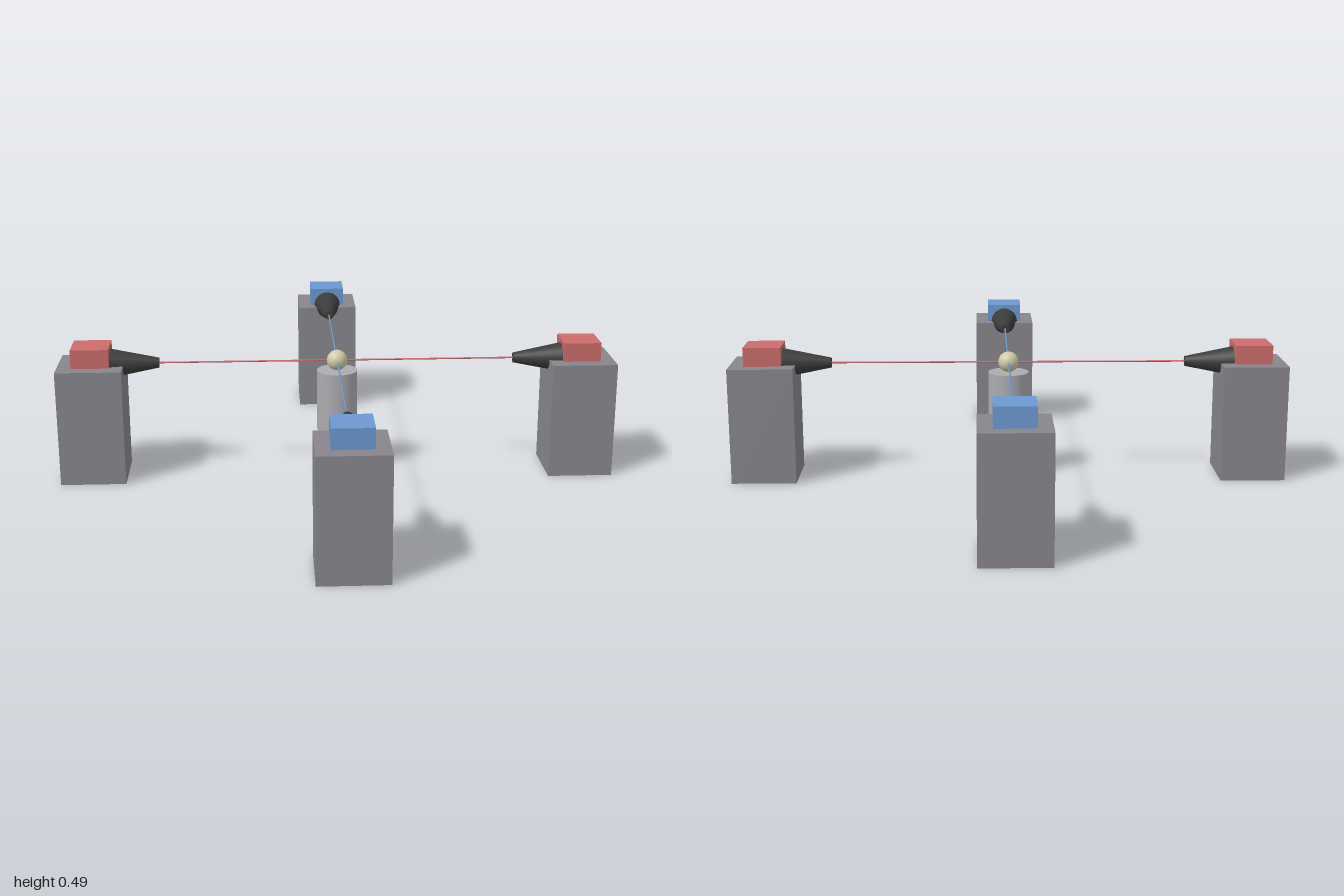
import * as THREE from 'three';

const paint = (name, color) => {
  const m = new THREE.MeshStandardMaterial({ color });
  m.name = name;
  return m;
};

export function createModel() {
  const model = new THREE.Group();
  model.name = 'beamCrossing';
  const stone = paint('pedestalGrey', 0x88868c);
  const steel = paint('postGrey', 0xacabb0);
  const black = paint('nozzleBlack', 0x3c3c3c);
  const red = paint('red', 0xcc6c6c);
  const blue = paint('blue', 0x6c98d0);
  const cream = paint('targetCream', 0xd0caa8);

  const add = (parent, name, geometry, material, x = 0, y = 0, z = 0) => {
    const mesh = new THREE.Mesh(geometry, material);
    mesh.name = name;
    mesh.position.set(x, y, z);
    parent.add(mesh);
    return mesh;
  };

  const axisY = 0.42;
  const pedestalGeo = new THREE.BoxGeometry(0.233, axisY, 0.233);
  const headGeo = new THREE.BoxGeometry(0.134, 0.068, 0.134);
  // Tapered nozzle, narrow end pointing toward the centre (-x)
  const nozzleGeo = new THREE.CylinderGeometry(0.018, 0.054, 0.18, 32).rotateZ(Math.PI / 2);
  const beamGeo = new THREE.CylinderGeometry(0.003, 0.003, 1.3, 12).rotateZ(Math.PI / 2);

  // Four stations around the centre, red along x and blue along z
  for (let i = 0; i < 4; i++) {
    const color = i % 2 ? blue : red;
    const station = new THREE.Group();
    station.name = `station${i + 1}`;
    station.rotation.y = i * Math.PI / 2;
    add(station, 'pedestal', pedestalGeo, stone, 0.8835, axisY / 2, 0);
    add(station, 'head', headGeo, color, 0.881, axisY + 0.034, 0);
    add(station, 'nozzle', nozzleGeo, black, 0.73, axisY, 0);
    model.add(station);
  }

  // Crossing beams between facing nozzles
  add(model, 'redBeam', beamGeo, red, 0, axisY, 0);
  add(model, 'blueBeam', beamGeo, blue, 0, axisY, 0).rotation.y = Math.PI / 2;

  // Central post with the target ball on top
  add(model, 'centrePost', new THREE.CylinderGeometry(0.073, 0.073, 0.383, 40), steel, 0, 0.1915, 0);
  add(model, 'targetBall', new THREE.SphereGeometry(0.037, 32, 20), cream, 0, axisY, 0);
  return model;
}
